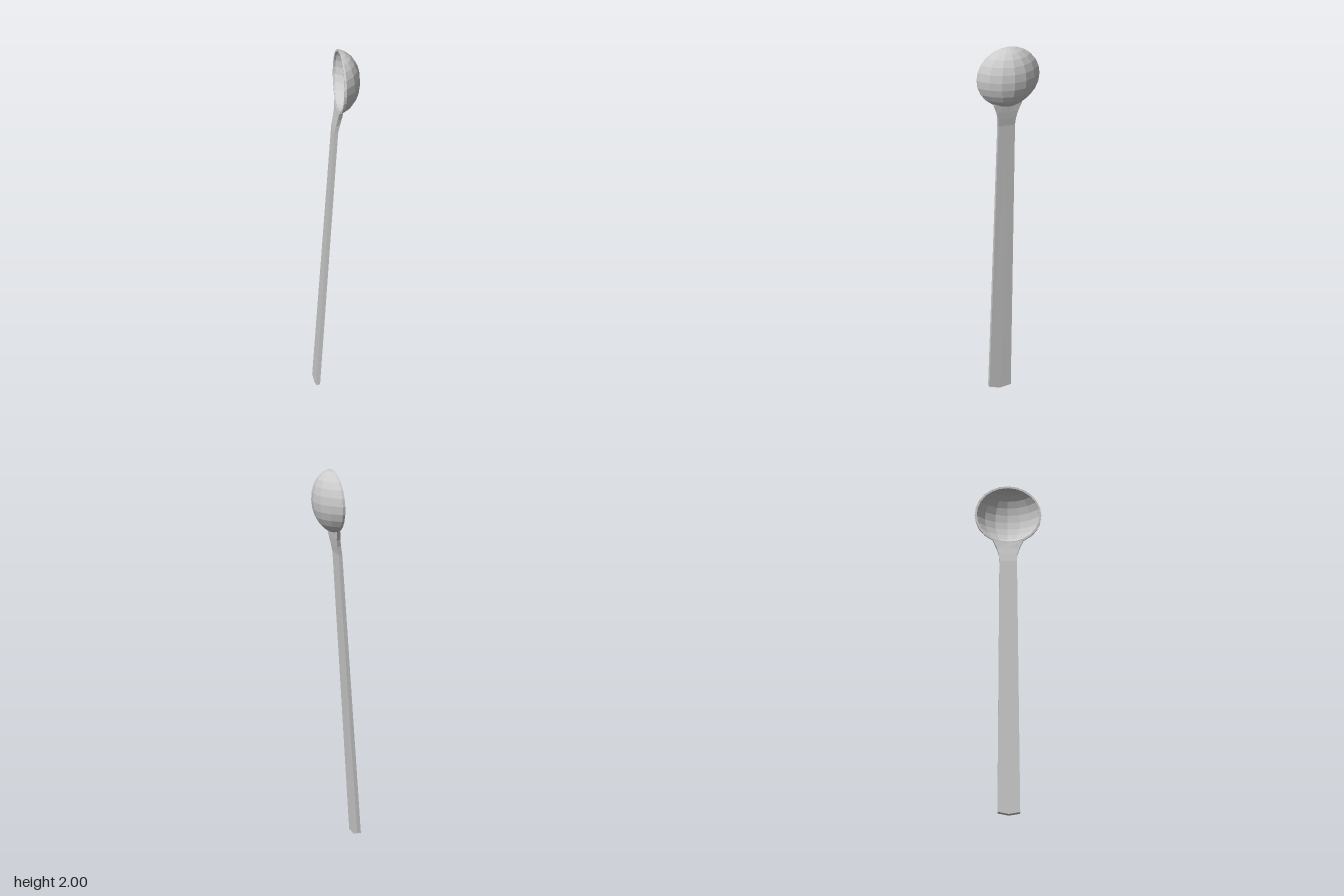
import * as THREE from 'three';

const material = new THREE.MeshStandardMaterial({ color: 0xcccccc, flatShading: true });

// Joins closed rings (counter-clockwise seen from above, listed bottom to top) into a faceted mesh.
function loft(name, rings, caps = []) {
  const n = rings[0].length;
  const index = [...caps];
  for (let r = 0; r < rings.length - 1; r++) {
    for (let i = 0; i < n; i++) {
      const a = r * n + i, b = r * n + (i + 1) % n;
      index.push(a, b, b + n, a, b + n, a + n);
    }
  }
  const geometry = new THREE.BufferGeometry();
  geometry.setAttribute('position', new THREE.Float32BufferAttribute(rings.flat(2), 3));
  geometry.setIndex(index);
  const flat = geometry.toNonIndexed();
  flat.computeVertexNormals();
  const mesh = new THREE.Mesh(flat, material);
  mesh.name = name;
  return mesh;
}

// Round hollow bowl, opening towards -x, with a thin wall and an upright rim band.
function makeBowl() {
  const centreY = 1.828, steps = 12, wall = 0.011;
  // [width fraction, depth fraction] from one rim to the other
  const half = [[1, 0], [1, 0.12], [0.73, 0.58], [0.39, 0.89]];
  const outer = [...half, [0, 1], ...half.map(([w, d]) => [-w, d]).reverse()];
  const inner = [...outer].reverse();
  const rings = [];
  for (let k = 0; k <= steps; k++) {
    const phi = (k / steps - 0.5) * Math.PI;
    const c = Math.cos(phi), s = Math.sin(phi);
    const skin = (section, inset) => section.map(([w, d]) => [
      0.008 + 0.007 * s + (0.115 - inset) * c * d,
      centreY + (0.172 - inset) * s,
      (0.178 - inset) * c * w,
    ]);
    rings.push([...skin(outer, 0), ...skin(inner, wall)]);
  }
  return loft('bowl', rings);
}

// Flat, slightly tapering handle that flares where it meets the bowl.
function makeHandle() {
  // [y, back x, front x, half width, lift of the side edges]
  const rows = [
    [0, -0.125, -0.104, 0.061, 0.012],
    [1.54, -0.024, -0.003, 0.047, 0],
    [1.585, -0.016, 0.006, 0.05, 0],
    [1.625, -0.008, 0.013, 0.06, 0],
    [1.66, -0.002, 0.018, 0.08, 0.013],
  ];
  const rings = rows.map(([y, back, front, w, lift]) => [
    ...[1, 0, -1].map((c) => [front, y + lift * Math.abs(c), c * w]),
    ...[-1, 0, 1].map((c) => [back, y + lift * Math.abs(c), c * w]),
  ]);
  const end = [0, 4, 1, 0, 5, 4, 1, 3, 2, 1, 4, 3];
  const top = [...end].reverse().map((i) => i + 6 * (rows.length - 1));
  return loft('handle', rings, [...end, ...top]);
}

export function createModel() {
  const spoon = new THREE.Group();
  spoon.name = 'spoon';
  spoon.add(makeBowl(), makeHandle());
  return spoon;
}
